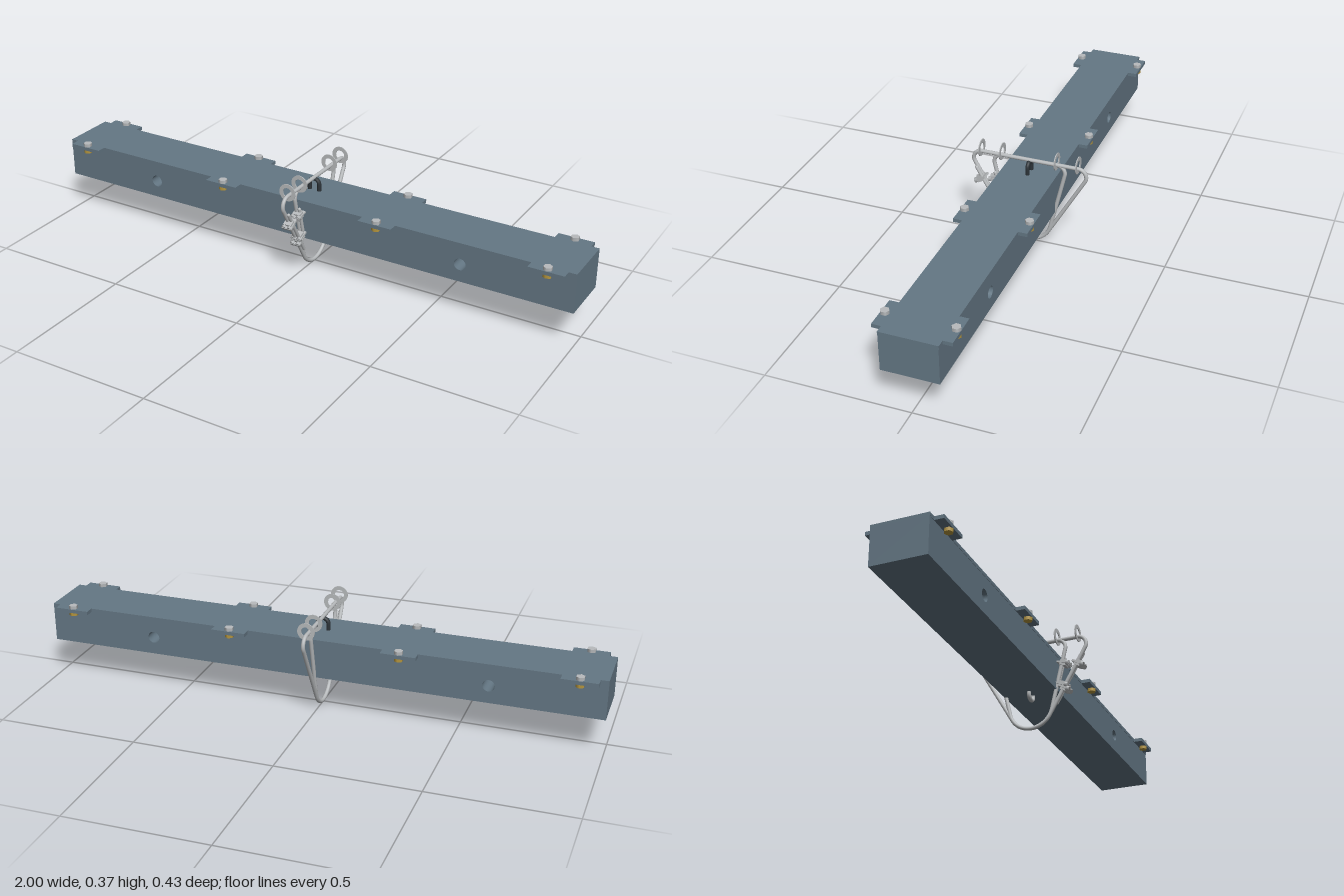
import * as THREE from 'three';

const material = (name, color) => {
  const m = new THREE.MeshStandardMaterial({ color });
  m.name = name;
  return m;
};

export function createModel() {
  const steelBlue = material('steelBlue', 0x647784);
  const steel = material('brightSteel', 0xb8bbbd);
  const dark = material('darkMetal', 0x2c3338);
  const brass = material('brass', 0xb8983f);
  const model = new THREE.Group();
  model.name = 'liftingBeam';

  const add = (parent, name, geometry, mat, x = 0, y = 0, z = 0) => {
    const mesh = new THREE.Mesh(geometry, mat);
    mesh.name = name;
    mesh.position.set(x, y, z);
    parent.add(mesh);
    return mesh;
  };

  // Beam with two holes running front to back
  const side = new THREE.Shape();
  side.moveTo(-1, 0.137).lineTo(1, 0.137).lineTo(1, 0.267).lineTo(-1, 0.267).closePath();
  for (const x of [-0.61, 0.605]) {
    side.holes.push(new THREE.Path().absarc(x, 0.2, 0.021, 0, Math.PI * 2, true));
  }
  add(model, 'beam', new THREE.ExtrudeGeometry(side, { depth: 0.194, bevelEnabled: false, curveSegments: 24 }),
    steelBlue, 0, 0, -0.097);

  // Lid with bolt tabs along both long edges
  const tabX = [-0.91, -0.305, 0.305, 0.91];
  const lid = new THREE.Shape();
  lid.moveTo(-1, -0.098);
  for (const s of [1, -1]) {
    for (const x of tabX) {
      lid.lineTo(s * (x - 0.062), -s * 0.098);
      lid.lineTo(s * (x - 0.062), -s * 0.13);
      lid.lineTo(s * (x + 0.062), -s * 0.13);
      lid.lineTo(s * (x + 0.062), -s * 0.098);
    }
    lid.lineTo(s, -s * 0.098);
    lid.lineTo(s, s * 0.098);
  }
  const lidGeometry = new THREE.ExtrudeGeometry(lid, { depth: 0.013, bevelEnabled: false });
  lidGeometry.rotateX(-Math.PI / 2);
  add(model, 'lid', lidGeometry, steelBlue, 0, 0.265, 0);

  // Hex bolts and brass nuts
  const hex = (r, h) => new THREE.CylinderGeometry(r, r, h, 6).toNonIndexed();
  for (const x of tabX) {
    for (const z of [-0.115, 0.115]) {
      add(model, 'boltHead', hex(0.0155, 0.012), steel, x, 0.284, z);
      add(model, 'boltNut', hex(0.0155, 0.012), brass, x, 0.259, z);
    }
  }

  // Wire loops: a bottom arc and two upper corners, joined by tangent lines
  const wireLoop = (name, cornerZ, degrees) => {
    const a = THREE.MathUtils.degToRad(degrees);
    const outline = new THREE.Path();
    outline.absarc(0, 0.087, 0.08, Math.PI + a, 2 * Math.PI - a, false);
    outline.absarc(cornerZ, 0.296, 0.03, -a, Math.PI / 2, false);
    outline.absarc(-cornerZ, 0.296, 0.03, Math.PI / 2, Math.PI + a, false);
    outline.closePath();
    const points = outline.getSpacedPoints(140).slice(0, -1).map(p => new THREE.Vector3(0, p.y, p.x));
    const curve = new THREE.CatmullRomCurve3(points, true);
    add(model, name, new THREE.TubeGeometry(curve, 220, 0.007, 12, true), steel);
  };
  wireLoop('outerWireLoop', 0.177, 30);
  wireLoop('innerWireLoop', 0.1, 13.3);

  // Thin upright guide rings on the top run
  const ringShape = new THREE.Shape().absarc(0, 0, 0.031, 0, Math.PI * 2, false);
  ringShape.holes.push(new THREE.Path().absarc(0, 0, 0.017, 0, Math.PI * 2, true));
  const ringGeometry = new THREE.ExtrudeGeometry(ringShape, { depth: 0.003, bevelEnabled: false, curveSegments: 24 });
  for (const z of [-0.177, -0.1, 0.1, 0.177]) {
    add(model, 'guideRing', ringGeometry, steel, 0, 0.34, z - 0.0015);
  }

  // Half-ring lugs above and below the beam
  const lug = (name, mat, endY, tipY) => {
    const s = Math.sign(tipY - endY);
    const points = [];
    for (let i = 0; i <= 12; i++) {
      const t = Math.PI * i / 12;
      points.push(new THREE.Vector3(0.019 * Math.cos(t), tipY - s * 0.026 + s * 0.019 * Math.sin(t), 0));
    }
    points.unshift(new THREE.Vector3(0.019, endY, 0));
    points.push(new THREE.Vector3(-0.019, endY, 0));
    add(model, name, new THREE.TubeGeometry(new THREE.CatmullRomCurve3(points), 40, 0.0075, 10), mat);
  };
  lug('topLug', dark, 0.27, 0.327);
  lug('bottomLug', steel, 0.145, 0.107);

  // Wire tails lying beside the front runs
  const tail = (z0, y0, z1, y1) => {
    const path = new THREE.LineCurve3(new THREE.Vector3(0.013, y0, z0), new THREE.Vector3(0.013, y1, z1));
    add(model, 'wireTail', new THREE.TubeGeometry(path, 1, 0.006, 10), steel);
    for (const [y, z] of [[y0, z0], [y1, z1]]) {
      add(model, 'tailEnd', new THREE.SphereGeometry(0.006, 10, 8), steel, 0.013, y, z);
    }
  };
  tail(0.192, 0.265, 0.093, 0.092);
  tail(0.122, 0.257, 0.1, 0.165);

  // Wire clamps: a flange with a saddle block and two nuts
  for (const [z, y, degrees] of [[0.178, 0.224, 30], [0.125, 0.139, 30], [0.123, 0.235, 14], [0.118, 0.153, 20]]) {
    const clamp = new THREE.Group();
    clamp.name = 'wireClamp';
    clamp.position.set(0.007, y, z);
    clamp.rotation.x = THREE.MathUtils.degToRad(degrees);
    add(clamp, 'clampFlange', new THREE.BoxGeometry(0.036, 0.007, 0.046), steel);
    add(clamp, 'clampSaddle', new THREE.BoxGeometry(0.03, 0.022, 0.024), steel);
    for (const x of [-0.011, 0.011]) {
      const nut = add(clamp, 'clampNut', hex(0.01, 0.01), steel, x, 0, 0.016);
      nut.rotation.x = Math.PI / 2;
    }
    model.add(clamp);
  }
  return model;
}
